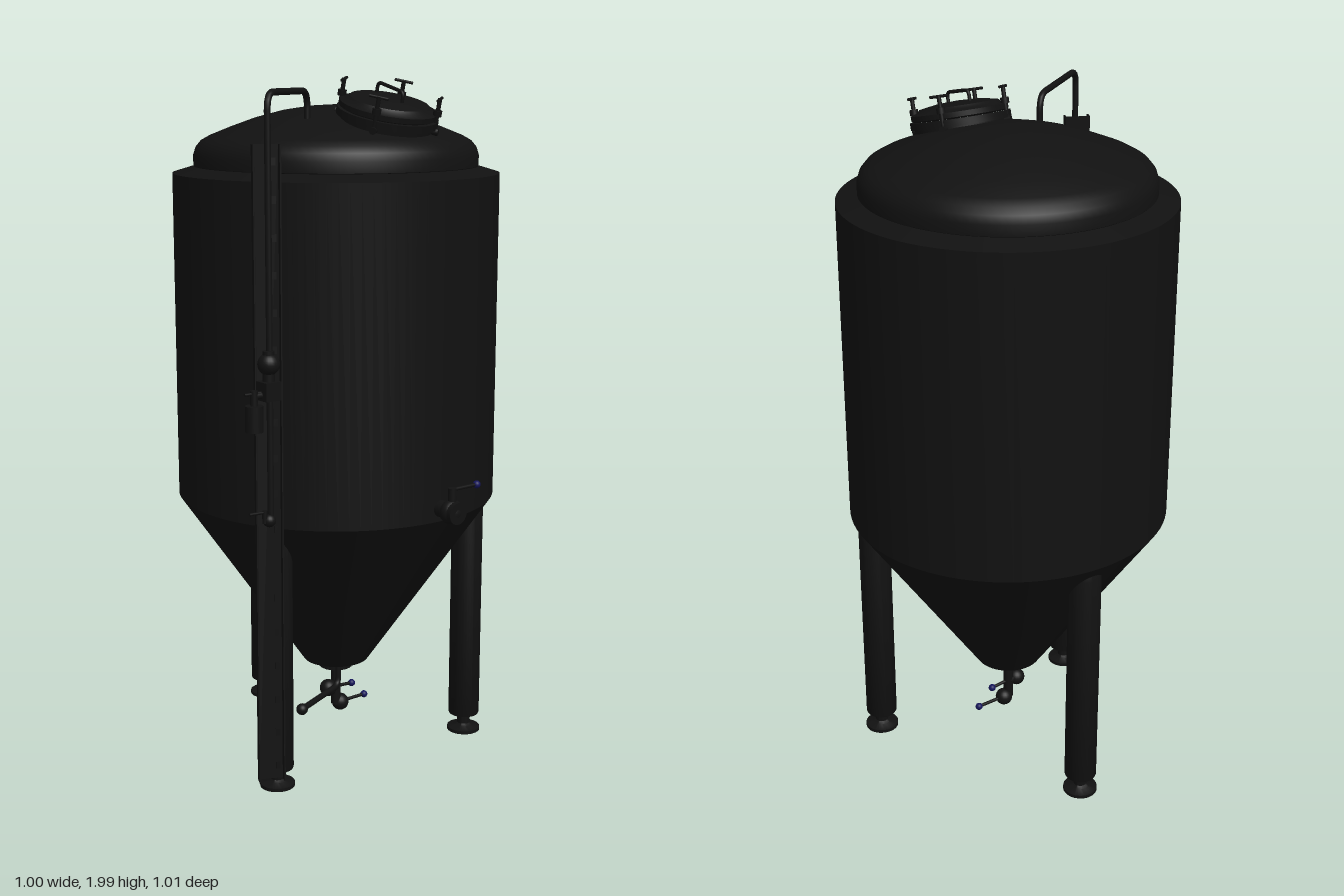
import * as THREE from 'three';
import { toCreasedNormals } from 'three/addons/utils/BufferGeometryUtils.js';

const V = (x, y, z) => new THREE.Vector3(x, y, z);
const dark = new THREE.MeshStandardMaterial({ color: 0x111111 });
const blue = new THREE.MeshStandardMaterial({ color: 0x14145a });
const CX = 0.033, CZ = -0.036;

function add(parent, name, geometry, material = dark) {
  const mesh = new THREE.Mesh(geometry, material);
  mesh.name = name;
  parent.add(mesh);
  return mesh;
}

// Turned part from [radius, height] pairs, listed bottom to top
function turned(parent, name, profile, segments = 32) {
  const g = new THREE.LatheGeometry(profile.map(([r, y]) => new THREE.Vector2(r, y)), segments);
  return add(parent, name, toCreasedNormals(g, 0.5));
}

// Straight round bar between two points
function rod(parent, name, a, b, r, material = dark, segments = 20) {
  const mesh = add(parent, name, new THREE.CylinderGeometry(r, r, a.distanceTo(b), segments), material);
  mesh.position.copy(a).lerp(b, 0.5);
  mesh.quaternion.setFromUnitVectors(V(0, 1, 0), b.clone().sub(a).normalize());
  return mesh;
}

function ball(parent, name, p, r, material = dark) {
  const mesh = add(parent, name, new THREE.SphereGeometry(r, 20, 14), material);
  mesh.position.copy(p);
  return mesh;
}

// Pipe through corner points with rounded bends
function pipe(parent, name, pts, r, bend) {
  const path = new THREE.CurvePath();
  let from = pts[0];
  for (let i = 1; i < pts.length - 1; i++) {
    const p = pts[i];
    const inP = p.clone().add(pts[i - 1].clone().sub(p).setLength(bend));
    const outP = p.clone().add(pts[i + 1].clone().sub(p).setLength(bend));
    path.add(new THREE.LineCurve3(from, inP));
    path.add(new THREE.QuadraticBezierCurve3(inP, p, outP));
    from = outP;
  }
  path.add(new THREE.LineCurve3(from, pts[pts.length - 1]));
  return add(parent, name, new THREE.TubeGeometry(path, 120, r, 12));
}

// Lever with a blue knob
function lever(parent, a, b) {
  rod(parent, 'leverArm', a, b, 0.005);
  ball(parent, 'leverKnob', b, 0.011, blue);
}

function makeTank(root) {
  const tank = new THREE.Group();
  tank.name = 'tank';
  tank.position.set(CX, 0, CZ);
  root.add(tank);
  turned(tank, 'shell', [[0, 0.255], [0.098, 0.255], [0.467, 0.79], [0.467, 1.725], [0.4, 1.745]], 96);
  turned(tank, 'domedTop', [[0.4, 1.738], [0.407, 1.745], [0.407, 1.775], [0.4, 1.797], [0.385, 1.815],
    [0.36, 1.829], [0.3, 1.853], [0.23, 1.878], [0.15, 1.899], [0.07, 1.911], [0, 1.915]], 96);
}

function makeLegs(root) {
  for (let i = 0; i < 3; i++) {
    const a = 0.055 + i * Math.PI * 2 / 3;
    const leg = new THREE.Group();
    leg.name = 'leg';
    leg.position.set(CX + 0.4 * Math.sin(a), 0, CZ - 0.4 * Math.cos(a));
    root.add(leg);
    turned(leg, 'legTube', [[0, 0.055], [0.045, 0.055], [0.047, 0.06], [0.047, 0.74], [0.04, 0.765], [0, 0.78]]);
    turned(leg, 'levellingFoot', [[0, 0], [0.05, 0], [0.05, 0.01], [0.026, 0.016], [0.019, 0.022], [0.019, 0.056]]);
  }
}

function makeManway(root) {
  const hatch = new THREE.Group();
  hatch.name = 'manway';
  hatch.position.set(0.031, 1.897, 0.195);
  hatch.rotation.x = 0.25;
  root.add(hatch);
  turned(hatch, 'neck', [[0.13, -0.075], [0.13, -0.02], [0.141, -0.02], [0.141, 0], [0.13, 0]], 48);
  turned(hatch, 'lid', [[0.128, 0], [0.136, 0.004], [0.136, 0.018], [0.118, 0.024], [0.11, 0.032], [0.06, 0.04], [0, 0.043]], 48);
  // Lid handle
  pipe(hatch, 'lidHandle', [V(0, 0.035, 0.05), V(0, 0.068, 0.05), V(0, 0.068, -0.06), V(0, 0.035, -0.06)], 0.005, 0.015);
  // Four swing bolts with T-shaped nuts
  for (let i = 0; i < 4; i++) {
    const a = 0.63 + i * Math.PI / 2;
    const c = Math.cos(a), s = Math.sin(a);
    const at = (r, y, t = 0) => V(r * s + t * c, y, r * c - t * s);
    rod(hatch, 'swingBolt', at(0.136, -0.03), at(0.136, 0.066), 0.006);
    rod(hatch, 'boltNut', at(0.136, 0.018), at(0.136, 0.034), 0.012);
    rod(hatch, 'boltHandle', at(0.136, 0.064, -0.026), at(0.136, 0.064, 0.026), 0.004);
    rod(hatch, 'boltLug', at(0.125, -0.025), at(0.147, -0.025), 0.01);
  }
}

function makeRiser(root) {
  // Upright cable channel, open towards the outside
  const s = new THREE.Shape();
  [[-0.037, 0], [0.037, 0], [0.037, 0.028], [0.033, 0.028], [0.033, 0.004], [-0.033, 0.004], [-0.033, 0.028], [-0.037, 0.028]]
    .forEach(([x, y], i) => (i ? s.lineTo(x, y) : s.moveTo(x, y)));
  const channel = new THREE.Group();
  channel.name = 'uprightChannel';
  channel.position.set(-0.405, 0.075, 0.225);
  channel.rotation.y = -0.45;
  root.add(channel);
  const rail = add(channel, 'channelRail', new THREE.ExtrudeGeometry(s, { depth: 1.75, bevelEnabled: false }));
  rail.rotation.x = -Math.PI / 2;
  rail.scale.y = -1;
  rail.material = dark.clone();
  rail.material.side = THREE.DoubleSide;
  for (let i = 0; i < 18; i++) {
    const clip = add(channel, 'channelClip', new THREE.BoxGeometry(0.012, 0.02, 0.005));
    clip.position.set(0.02, 0.04 + i * 0.098, 0.006);
  }

  // Blow-off pipe from the dome over and down the channel
  pipe(root, 'blowOffPipe', [V(-0.152, 1.83, 0.072), V(-0.152, 1.955, 0.072), V(-0.42, 1.955, 0.257), V(-0.42, 0.83, 0.257)], 0.009, 0.045);
  const valve = new THREE.Group();
  valve.name = 'pressureValve';
  root.add(valve);
  const block = add(valve, 'valveBlock', new THREE.BoxGeometry(0.048, 0.05, 0.048));
  block.position.set(-0.427, 1.19, 0.262);
  ball(valve, 'valveBody', V(-0.425, 1.26, 0.26), 0.03);
  rod(valve, 'valveCollar', V(-0.425, 1.295, 0.26), V(-0.425, 1.21, 0.26), 0.016);
  rod(valve, 'sideArm', V(-0.43, 1.18, 0.26), V(-0.473, 1.18, 0.26), 0.009);
  rod(valve, 'reliefStem', V(-0.473, 1.15, 0.26), V(-0.473, 1.195, 0.26), 0.01);
  rod(valve, 'reliefCup', V(-0.473, 1.085, 0.26), V(-0.473, 1.155, 0.26), 0.024);
  rod(valve, 'reliefPin', V(-0.503, 1.187, 0.26), V(-0.445, 1.187, 0.26), 0.004);
  // Lower shut-off valve
  ball(root, 'lowerValve', V(-0.425, 0.835, 0.257), 0.018);
  rod(root, 'lowerValveStem', V(-0.44, 0.83, 0.257), V(-0.44, 0.865, 0.257), 0.007);
  rod(root, 'lowerValveLever', V(-0.44, 0.86, 0.257), V(-0.49, 0.862, 0.257), 0.004);
}

function makeSampleValve(root) {
  const tap = new THREE.Group();
  tap.name = 'frontValve';
  root.add(tap);
  rod(tap, 'tapPort', V(CX, 0.827, 0.4), V(CX, 0.827, 0.465), 0.024);
  rod(tap, 'tapFlange', V(CX, 0.827, 0.46), V(CX, 0.827, 0.503), 0.031);
  ball(tap, 'tapBody', V(CX, 0.827, 0.475), 0.035).scale.z = 0.85;
  rod(tap, 'tapStem', V(CX, 0.83, 0.477), V(CX, 0.895, 0.477), 0.012);
  lever(tap, V(CX, 0.89, 0.476), V(0.125, 0.89, 0.476));
}

function makeOutlet(root) {
  const outlet = new THREE.Group();
  outlet.name = 'bottomOutlet';
  root.add(outlet);
  rod(outlet, 'outletFlange', V(CX, 0.225, CZ), V(CX, 0.242, CZ), 0.05);
  rod(outlet, 'outletNeck', V(CX, 0.24, CZ), V(CX, 0.262, CZ), 0.035);
  rod(outlet, 'outletPipe', V(CX, 0.1, CZ), V(CX, 0.23, CZ), 0.015);
  // Tee with a side valve, and a drain valve below it
  rod(outlet, 'teeBranch', V(CX, 0.157, CZ), V(-0.01, 0.157, CZ), 0.016);
  ball(outlet, 'sideValve', V(0.003, 0.157, CZ), 0.026);
  lever(outlet, V(0.003, 0.157, CZ), V(0.095, 0.15, CZ));
  ball(outlet, 'drainValve', V(0.05, 0.1, CZ), 0.026);
  rod(outlet, 'drainElbow', V(CX, 0.1, CZ), V(0.07, 0.1, CZ), 0.016);
  lever(outlet, V(0.055, 0.1, CZ), V(0.145, 0.1, CZ));
  // Racking pipe out of the cone towards a leg
  pipe(root, 'rackingPipe', [V(-0.01, 0.28, 0.03), V(-0.01, 0.19, 0.03), V(-0.208, 0.19, 0.11)], 0.009, 0.03);
  ball(root, 'rackingPipeEnd', V(-0.208, 0.19, 0.11), 0.017);
}

export function createModel() {
  const root = new THREE.Group();
  root.name = 'conicalTank';
  [makeTank, makeLegs, makeManway, makeRiser, makeSampleValve, makeOutlet].forEach((make) => make(root));
  return root;
}
